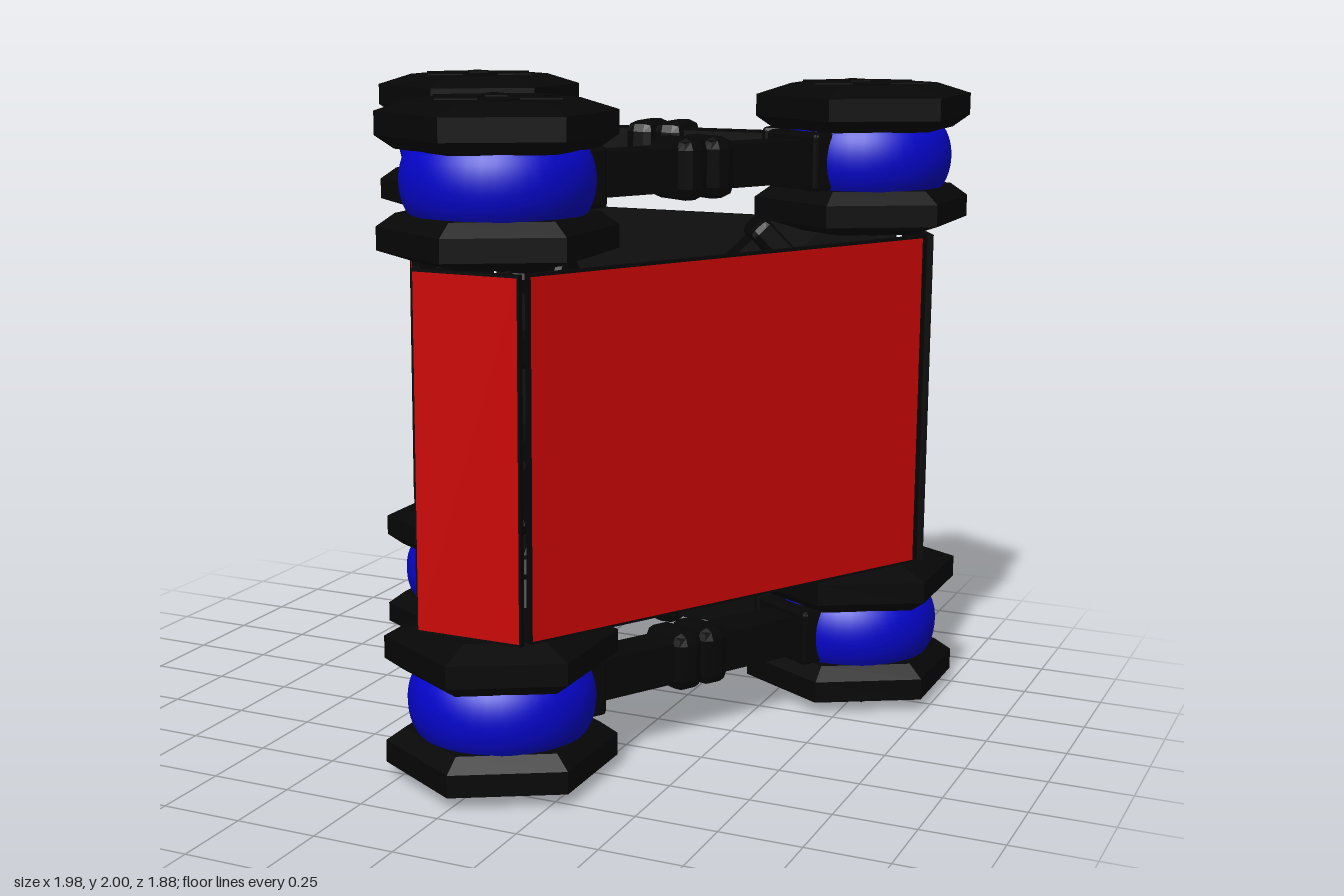
import * as THREE from 'three';
import { RoundedBoxGeometry } from 'three/addons/geometries/RoundedBoxGeometry.js';

const black = new THREE.MeshStandardMaterial({ color: 0x060606, flatShading: true });
const red = new THREE.MeshStandardMaterial({ color: 0xcc0505 });
const blue = new THREE.MeshStandardMaterial({ color: 0x0505cc });

const CENTRE_Z = -0.2;
const REACH = 0.796; // centre axis to corner node
const LOW = 0.236, MID = 1, HIGH = 1.765; // node heights
const THIRD = (Math.PI * 2) / 3;
const lathe = (pts, sides) => new THREE.LatheGeometry(pts.map(([r, y]) => new THREE.Vector2(r, y)), sides);

// shared geometry
const plateGeo = lathe([[0, -0.072], [0.29, -0.072], [0.345, -0.034], [0.345, 0.034], [0.235, 0.068], [0, 0.068]], 6);
const facetGeo = new THREE.CylinderGeometry(0.1, 0.1, 0.008, 3);
const ballGeo = lathe(Array.from({ length: 13 }, (_, i) => {
  const y = -0.096 + i * 0.016;
  return [0.2 + 0.08 * Math.sqrt(1 - (y / 0.125) ** 2), y];
}), 40);
const bracketGeo = new RoundedBoxGeometry(0.235, 0.178, 0.16, 1, 0.012);
const sleeveGeo = new RoundedBoxGeometry(0.19, 0.185, 0.105, 1, 0.035);
const collarGeo = new RoundedBoxGeometry(0.18, 0.18, 0.08, 1, 0.025);

function add(parent, name, geo, mat, x = 0, y = 0, z = 0) {
  const mesh = new THREE.Mesh(geo, mat);
  mesh.name = name;
  mesh.position.set(x, y, z);
  parent.add(mesh);
  return mesh;
}

// ball held between two bevelled hexagonal plates
function makeNode(position) {
  const node = new THREE.Group();
  node.name = 'node';
  node.position.copy(position);
  add(node, 'ball', ballGeo, blue);
  for (const s of [-1, 1]) {
    const plate = add(node, 'hexPlate', plateGeo, black, 0, s * 0.162, 0);
    if (s < 0) plate.rotation.z = Math.PI;
    for (let i = 0; i < 6; i++) {
      const a = (i + 0.5) * Math.PI / 3;
      add(plate, 'plateFacet', facetGeo, black, Math.sin(a) * 0.105, 0.068, Math.cos(a) * 0.105).rotation.y = a;
    }
  }
  return node;
}

// bar joining two points, its length along local z
function makeBar(name, a, b, trim) {
  const bar = new THREE.Group();
  bar.name = name;
  bar.position.copy(a).lerp(b, 0.5);
  bar.lookAt(b);
  const length = a.distanceTo(b);
  add(bar, 'bar', new THREE.BoxGeometry(0.13, 0.13, length - trim), black);
  return { bar, length };
}

// level strut with end brackets and a two-part middle sleeve
function makeStrut(a, b) {
  const { bar, length } = makeBar('strut', a, b, 0.5);
  for (const s of [-1, 1]) {
    add(bar, 'bracket', bracketGeo, black, 0, 0, s * (length / 2 - 0.22));
    add(bar, 'sleeve', sleeveGeo, black, 0, 0, s * 0.05);
  }
  return bar;
}

// sloping brace from the middle node to a corner node
function makeBrace(a, b) {
  const { bar, length } = makeBar('brace', a, b, 0.3);
  for (const s of [-1, 1]) add(bar, 'collar', collarGeo, black, 0, 0, s * (length / 2 - 0.4));
  return bar;
}

// triangle of three corner nodes, braced to the middle node
function makeFrame(name, y, middle) {
  const frame = new THREE.Group();
  frame.name = name;
  const corners = [0, 1, 2].map(i => new THREE.Vector3(
    Math.sin(i * THIRD) * REACH, y, CENTRE_Z + Math.cos(i * THIRD) * REACH));
  corners.forEach((p, i) => {
    frame.add(makeNode(p), makeStrut(p, corners[(i + 1) % 3]), makeBrace(middle, p));
  });
  return frame;
}

// thin black board with a red outer face
function makePanel(name, angle, distance, width) {
  const pivot = new THREE.Group();
  pivot.name = name;
  pivot.position.set(0, 1, CENTRE_Z + 0.007);
  pivot.rotation.y = angle;
  add(pivot, 'backing', new THREE.BoxGeometry(width, 1.06, 0.02), black, 0, 0, distance - 0.01);
  add(pivot, 'redFace', new THREE.PlaneGeometry(width - 0.012, 1.044), red, 0, 0, distance + 0.0015);
  return pivot;
}

export function createModel() {
  const model = new THREE.Group();
  model.name = 'triangularTower';

  const middle = new THREE.Vector3(0, MID, CENTRE_Z);
  model.add(makeNode(middle), makeFrame('lowerFrame', LOW, middle), makeFrame('upperFrame', HIGH, middle));

  for (let i = 0; i < 3; i++) {
    model.add(
      makePanel('cornerPanel', i * THIRD, 0.995, 0.338),
      makePanel('sidePanel', Math.PI + i * THIRD, 0.638, 1.482));
  }
  return model;
}
